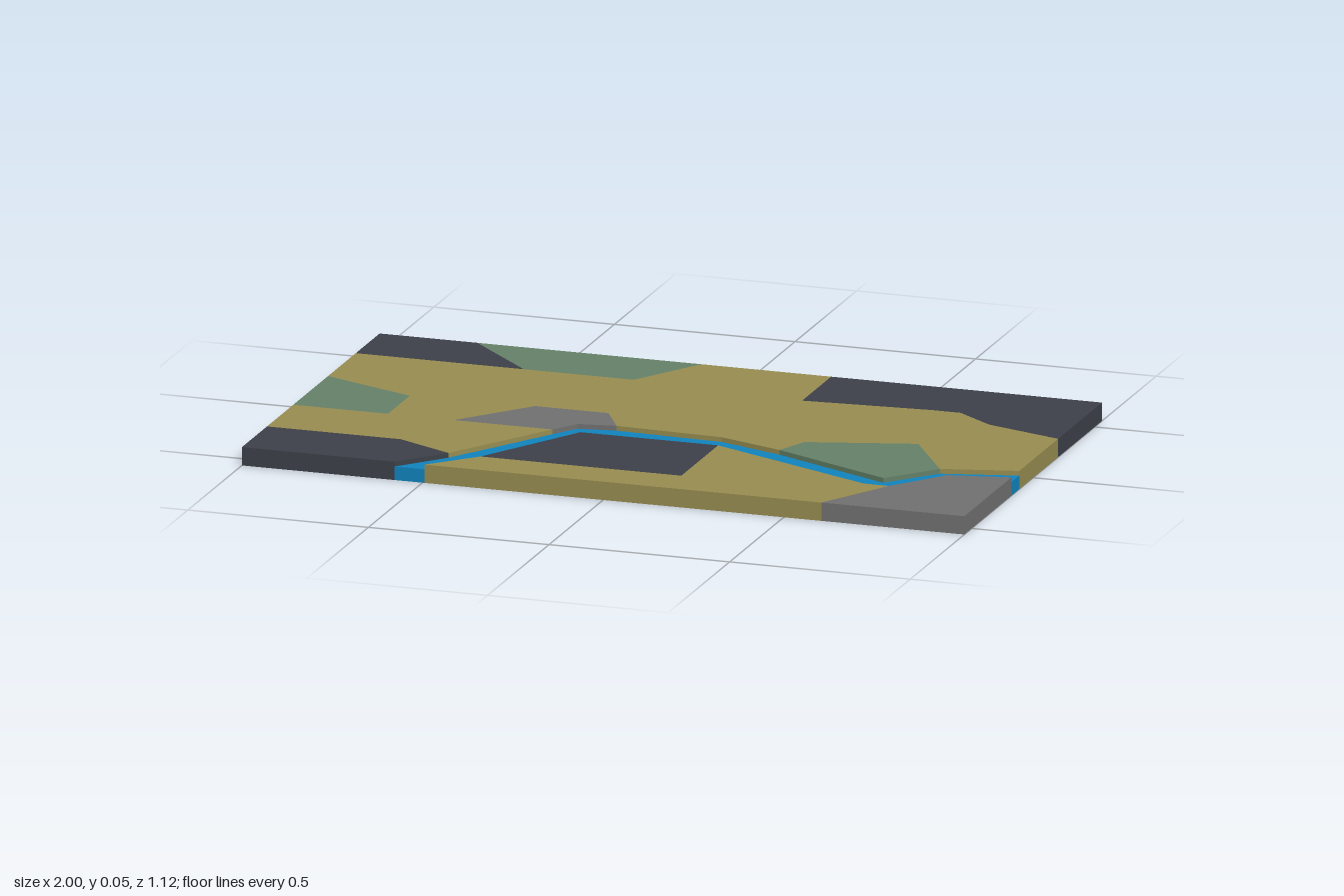
import * as THREE from 'three';

const LAND_HEIGHT = 0.05;
const RIVER_HEIGHT = 0.037;

const material = (name, color) => {
  const m = new THREE.MeshStandardMaterial({ color });
  m.name = name;
  return m;
};

// Vertical slab standing on y = 0, from an outline of [x, z] corners
function slab(name, outline, height, mat) {
  const shape = new THREE.Shape(outline.map(([x, z]) => new THREE.Vector2(x, -z)));
  const geometry = new THREE.ExtrudeGeometry(shape, { depth: height, bevelEnabled: false });
  geometry.rotateX(-Math.PI / 2);
  const mesh = new THREE.Mesh(geometry, mat);
  mesh.name = name;
  return mesh;
}

export function createModel() {
  const olive = material('olive grass', 0x968c50);
  const dark = material('dark slate', 0x3c4048);
  const green = material('muted green', 0x648067);
  const gray = material('gray rock', 0x707070);
  const blue = material('river blue', 0x1083bd);

  // River banks, west to east
  const northBank = [[-0.577, 0.56], [-0.47, 0.437], [-0.283, 0.142], [-0.237, 0.072], [-0.134, 0.056],
    [0.16, 0.067], [0.342, 0.131], [0.684, 0.291], [0.797, 0.163], [1, 0.113]];
  const southBank = [[-0.495, 0.56], [-0.38, 0.441], [-0.205, 0.142], [0.176, 0.142],
    [0.652, 0.356], [0.722, 0.356], [0.834, 0.211], [1, 0.177]];

  const lands = [
    // Main plain north of the river, notched around the coloured patches
    ['northPlain', olive, [[-1, -0.366], [-0.535, -0.366], [-0.23, -0.366], [-0.11, -0.56], [0.25, -0.56],
      [0.25, -0.324], [0.6, -0.35], [0.68, -0.35], [0.786, -0.27], [1, -0.203], [1, 0.113],
      [0.797, 0.163], [0.668, -0.04], [0.38, 0.04], [0.342, 0.131], [0.16, 0.067], [-0.134, 0.056],
      [-0.193, -0.05], [-0.396, -0.05], [-0.556, 0.142], [-0.283, 0.142], [-0.47, 0.437],
      [-0.63, 0.356], [-1, 0.356], [-1, 0.142], [-0.738, 0.142], [-0.738, -0.035], [-1, -0.14]]],
    ['southPlain', olive, [southBank[0], southBank[1], [0.176, 0.441], southBank[3], southBank[4],
      southBank[5], [0.604, 0.56]]],
    // Dark patches
    ['northWestDarkPatch', dark, [[-1, -0.56], [-0.73, -0.56], [-0.535, -0.366], [-1, -0.366]]],
    ['northEastDarkPatch', dark, [[0.25, -0.56], [1, -0.56], [1, -0.203], [0.786, -0.27],
      [0.68, -0.35], [0.6, -0.35], [0.25, -0.324]]],
    ['southWestDarkPatch', dark, [[-1, 0.356], [-0.63, 0.356], northBank[1], northBank[0], [-1, 0.56]]],
    ['southDarkPatch', dark, [southBank[1], southBank[2], southBank[3], [0.176, 0.441]]],
    // Green patches
    ['northGreenPatch', green, [[-0.73, -0.56], [-0.11, -0.56], [-0.23, -0.366], [-0.535, -0.366]]],
    ['westGreenPatch', green, [[-1, -0.14], [-0.738, -0.035], [-0.738, 0.142], [-1, 0.142]]],
    ['eastGreenPatch', green, [northBank[6], [0.38, 0.04], [0.668, -0.04], northBank[8], northBank[7]]],
    // Rock patches
    ['middleRockPatch', gray, [[-0.556, 0.142], [-0.396, -0.05], [-0.193, -0.05],
      northBank[4], northBank[3], northBank[2]]],
    ['southEastRockPatch', gray, [southBank[5], southBank[6], southBank[7], [1, 0.56], [0.604, 0.56]]],
  ];

  const group = new THREE.Group();
  group.name = 'terrainBoard';
  for (const [name, mat, outline] of lands) group.add(slab(name, outline, LAND_HEIGHT, mat));

  // Sunken river between the two banks
  group.add(slab('river', [...northBank, ...southBank.slice().reverse()], RIVER_HEIGHT, blue));
  return group;
}
